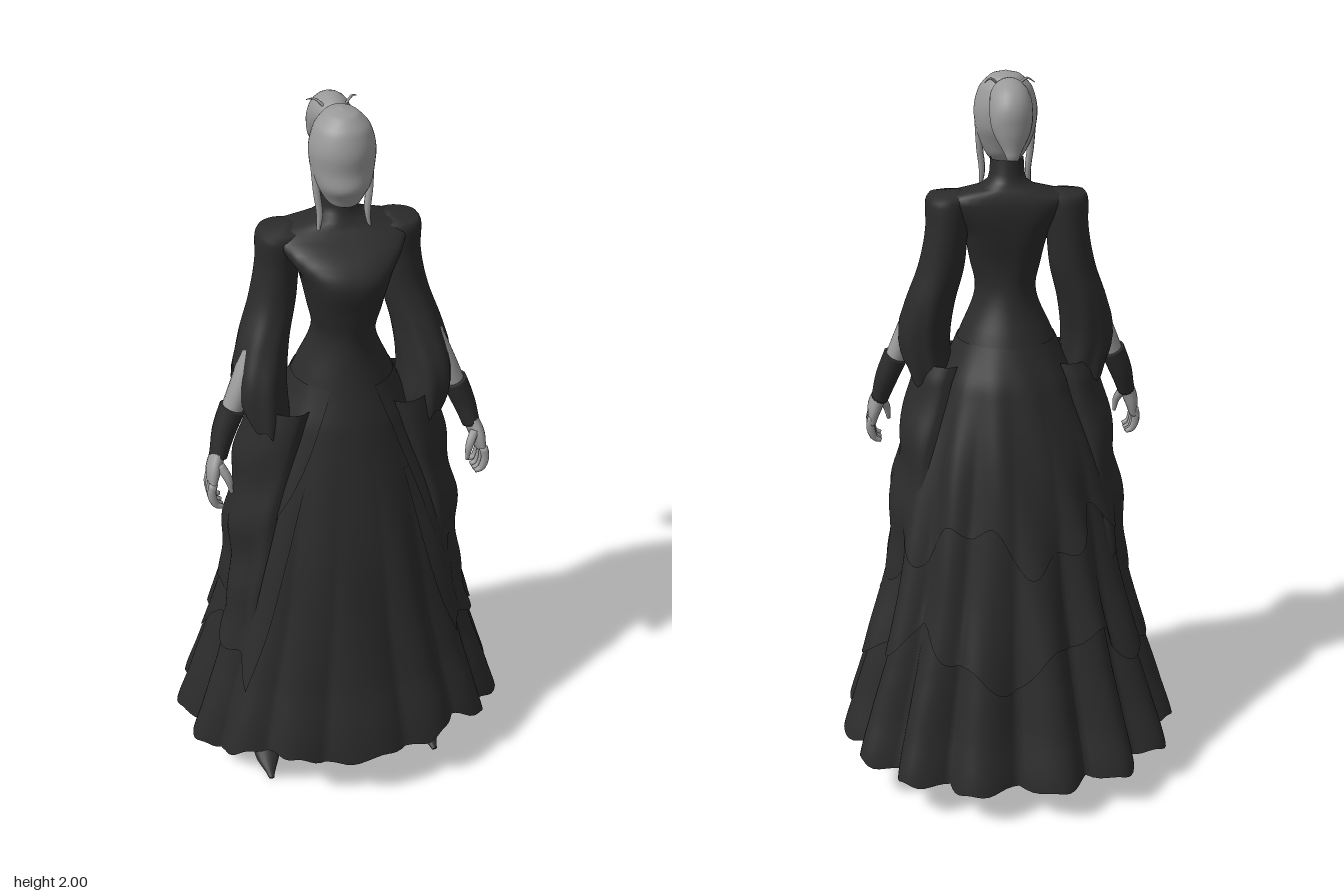
import * as THREE from 'three';
import { mergeVertices } from 'three/addons/utils/BufferGeometryUtils.js';

const cloth = new THREE.MeshStandardMaterial({ color: 0x2b2b2b, side: THREE.DoubleSide });
cloth.name = 'black cloth';
const pale = new THREE.MeshStandardMaterial({ color: 0x9a9a9a, side: THREE.DoubleSide });
pale.name = 'pale grey';

const TAU = Math.PI * 2;
const lerp = THREE.MathUtils.lerp;

// Smooth value through four neighbours
function cubic(a, b, c, d, f) {
  const m = (c - a) / 2, n = (d - b) / 2;
  return b + m * f + (3 * (c - b) - 2 * m - n) * f * f + (2 * (b - c) + m + n) * f * f * f;
}

// Reads a table of cross-sections (first column y, descending) at height y
function at(rows, y) {
  let k = 0;
  while (k < rows.length - 2 && y < rows[k + 1][0]) k++;
  const f = THREE.MathUtils.clamp((rows[k][0] - y) / (rows[k][0] - rows[k + 1][0]), 0, 1);
  const row = (i) => rows[THREE.MathUtils.clamp(i, 0, rows.length - 1)];
  return rows[k].map((_, j) => cubic(row(k - 1)[j], row(k)[j], row(k + 1)[j], row(k + 2)[j], f));
}

// Mesh from a rule fn(u, v) -> [x, y, z]; u runs round, v runs down
function surface(name, cols, rows, fn, material) {
  const pos = [], index = [];
  for (let i = 0; i <= rows; i++)
    for (let j = 0; j <= cols; j++) pos.push(...fn(j / cols, i / rows));
  for (let i = 0; i < rows; i++)
    for (let j = 0; j < cols; j++) {
      const a = i * (cols + 1) + j, c = a + cols + 1;
      index.push(a, c, a + 1, a + 1, c, c + 1);
    }
  let geo = new THREE.BufferGeometry();
  geo.setAttribute('position', new THREE.Float32BufferAttribute(pos, 3));
  geo.setIndex(index);
  geo = mergeVertices(geo, 1e-5);
  geo.computeVertexNormals();
  const mesh = new THREE.Mesh(geo, material);
  mesh.name = name;
  return mesh;
}

// Closed limb along a curve; radii are [across, deep] pairs spread along it
function limb(name, points, radii, material, cols = 16, rows = 20) {
  const curve = new THREE.CatmullRomCurve3(points.map((p) => new THREE.Vector3(...p)));
  const table = radii.map((r, i) => [1 - i / (radii.length - 1), ...r]);
  return surface(name, cols, rows + 2, (u, v) => {
    const k = Math.round(v * (rows + 2));
    const t = THREE.MathUtils.clamp((k - 1) / rows, 0, 1);
    const cap = k === 0 || k === rows + 2 ? 0 : 1;
    const c = curve.getPoint(t), dir = curve.getTangent(t);
    const across = new THREE.Vector3(1, 0, 0).addScaledVector(dir, -dir.x).normalize();
    const deep = dir.clone().cross(across);
    const [, ra, rd] = at(table, 1 - t);
    const w = (u % 1) * TAU;
    return c.addScaledVector(across, Math.sin(w) * ra * cap)
      .addScaledVector(deep, Math.cos(w) * rd * cap).toArray();
  }, material);
}

// Height, half width, front z, back z of the gown
const GOWN = [
  [1.785, 0.043, 0.063, -0.025], [1.73, 0.05, 0.07, -0.035], [1.708, 0.085, 0.082, -0.045],
  [1.692, 0.165, 0.095, -0.052], [1.655, 0.155, 0.16, -0.055], [1.6, 0.116, 0.203, -0.048],
  [1.5, 0.094, 0.185, -0.032], [1.42, 0.082, 0.17, -0.035], [1.32, 0.122, 0.182, -0.07],
  [1.2, 0.175, 0.212, -0.12], [1.0, 0.243, 0.245, -0.172], [0.8, 0.29, 0.278, -0.212],
  [0.6, 0.332, 0.302, -0.25], [0.4, 0.388, 0.33, -0.295], [0.25, 0.437, 0.362, -0.332],
  [0.1, 0.48, 0.378, -0.375],
];

// Point on the gown, pushed out by an offset; folds deepen toward the hem
function gownPoint(w, y, out = 0) {
  const [, hw, zf, zb] = at(GOWN, y);
  const full = THREE.MathUtils.smoothstep(1.3 - y, 0, 1.15);
  const chest = THREE.MathUtils.smoothstep(y, 1.42, 1.62) * (1 - THREE.MathUtils.smoothstep(y, 1.7, 1.73));
  const s = Math.sin(w), c = Math.cos(w);
  // Squarer at the chest and back of the shoulders, and at the front of the hem
  const e = 1 - full * (c > 0 ? 0.16 : 0.1) - chest * (c > 0 ? 0.2 : 0.42);
  const lobe = Math.abs(Math.cos(7.5 * w)) - 0.72;
  const fold = 1 + full * (0.105 - 0.05 * c) * lobe + full * (1 - full) * 0.05 * Math.sin(11 * w + y * 5);
  const round = (q) => Math.sign(q) * Math.abs(q) ** e;
  const x = round(s) * (hw * fold + out);
  const z = (zf + zb) / 2 + round(c) * ((zf - zb) / 2 * fold + out);
  return [x, y, z];
}

// Hem height round the skirt: lifted beside the front petal, lowest at the back
function hemAt(w) {
  const a = Math.min(w, TAU - w);
  return 0.138 + 0.034 * Math.cos(w) + 0.045 * Math.exp(-(((a - 0.6) / 0.25) ** 2))
    + 0.01 * Math.sin(22 * w) * Math.cos(9 * w);
}

function gown() {
  return surface('gown', 210, 90, (u, v) => {
    const w = (u % 1) * TAU;
    return gownPoint(w, lerp(1.785, hemAt(w), v));
  }, cloth);
}

// Frilled lining just inside the hem
function petticoat() {
  return surface('petticoat', 180, 16, (u, v) => {
    const w = (u % 1) * TAU;
    const frill = 0.012 * v * Math.sin(30 * w);
    return gownPoint(w, lerp(0.5, hemAt(w) + 0.006 * Math.sin(17 * w), v), -0.02 - 0.025 * v + frill);
  }, cloth);
}

// Open-fronted ragged layer lying over the skirt
function tier(name, top, bottom, gapTop, gapBottom, lift, phase) {
  return surface(name, 150, 26, (u, v) => {
    const gap = lerp(gapTop, gapBottom, v);
    const w = lerp(gap, TAU - gap, u);
    const hem = bottom + 0.06 * Math.sin(5 * w + phase) + 0.03 * Math.sin(13 * w + phase);
    const y = lerp(top, hem, v);
    const ripple = 0.006 * v * Math.sin(12 * w + 9 * y + phase);
    return gownPoint(w, y, 0.003 + lift * v + ripple);
  }, cloth);
}

// Height, centre x, half width, centre z, half depth of a sleeve
const SLEEVE = [
  [1.707, 0.13, 0, 0.018, 0], [1.702, 0.14, 0.054, 0.018, 0.052], [1.68, 0.15, 0.061, 0.018, 0.066],
  [1.6, 0.158, 0.056, 0.014, 0.064], [1.5, 0.174, 0.061, 0.018, 0.066], [1.4, 0.203, 0.066, 0.035, 0.08],
  [1.3, 0.221, 0.071, 0.058, 0.092], [1.2, 0.214, 0.068, 0.07, 0.095], [1.1, 0.208, 0.06, 0.075, 0.085],
];

function arm() {
  const g = new THREE.Group();
  g.name = 'arm';
  g.add(surface('sleeve', 56, 40, (u, v) => {
    const w = (u % 1) * TAU;
    const hem = 1.17 + 0.04 * Math.sin(w) + 0.13 * Math.exp(-(((w - 1.5) / 0.5) ** 2)) + 0.012 * Math.sin(9 * w);
    const y = lerp(1.707, hem, v);
    const [, cx, rx, cz, rz] = at(SLEEVE, y);
    const f = 1 + 0.05 * v * v * Math.sin(7 * w + 12 * y);
    return [cx + Math.sin(w) * rx * f, y, cz + Math.cos(w) * rz * f];
  }, cloth));
  // Loose cloth falling from the sleeve down the side of the skirt
  g.add(surface('sideDrape', 40, 40, (u, v) => {
    const w = lerp(0.75 + 0.25 * v, 2.15, u);
    const y = lerp(1.24, 0.5 + 0.2 * u + 0.025 * Math.sin(16 * u), v);
    const swell = lerp(0.078, 0.006, v) + 0.009 * Math.sin(26 * y + 3 * w) * Math.sin(Math.PI * v);
    return gownPoint(w, y, 0.008 + swell * Math.sin(Math.PI * u) ** 0.5);
  }, cloth));
  g.add(limb('forearm', [[0.232, 1.4, 0.06], [0.27, 1.3, 0.08], [0.303, 1.22, 0.088]],
    [[0.026, 0.032], [0.029, 0.036], [0.028, 0.034]], pale));
  g.add(limb('cuff', [[0.298, 1.235, 0.088], [0.325, 1.17, 0.095], [0.345, 1.105, 0.11]],
    [[0.034, 0.039], [0.031, 0.036], [0.024, 0.032]], cloth));
  // Hand with curled fingers
  g.add(limb('palm', [[0.343, 1.12, 0.107], [0.36, 1.075, 0.12], [0.368, 1.035, 0.128]],
    [[0.02, 0.03], [0.02, 0.041], [0.013, 0.041]], pale));
  for (let i = 0; i < 4; i++) {
    const z = 0.099 + i * 0.02, drop = 0.008 * Math.sin((i + 0.5) * Math.PI / 4);
    g.add(limb('finger', [[0.368, 1.05, z], [0.374, 1.02, z + 0.002], [0.364, 0.99 - drop, z + 0.003], [0.346, 0.982 - drop, z + 0.003]],
      [[0.012, 0.012], [0.011, 0.012], [0.006, 0.007]], pale, 8, 8));
  }
  g.add(limb('thumb', [[0.347, 1.095, 0.14], [0.328, 1.06, 0.158], [0.322, 1.02, 0.163]],
    [[0.013, 0.013], [0.011, 0.011], [0.005, 0.005]], pale, 8, 8));
  return g;
}

function leg() {
  const g = new THREE.Group();
  g.name = 'leg';
  g.add(limb('stocking', [[0.18, 0.6, 0.01], [0.205, 0.4, 0], [0.22, 0.22, 0]], [[0.05, 0.055], [0.042, 0.046], [0.03, 0.034]], cloth));
  // Bare strip at the back of the calf
  g.add(limb('calf', [[0.216, 0.235, -0.016], [0.219, 0.2, -0.016], [0.222, 0.15, -0.016]], [[0.027, 0.03], [0.028, 0.03], [0.026, 0.028]], pale));
  g.add(limb('bootShaft', [[0.223, 0.23, 0.004], [0.23, 0.13, 0], [0.236, 0.06, -0.01]], [[0.03, 0.034], [0.029, 0.042], [0.03, 0.05]], cloth));
  g.add(limb('shoe', [[0.234, 0.08, -0.095], [0.237, 0.07, -0.02], [0.243, 0.042, 0.07], [0.248, 0.022, 0.14], [0.252, 0.007, 0.22]],
    [[0.012, 0.01], [0.03, 0.035], [0.036, 0.036], [0.036, 0.022], [0.008, 0.006]], cloth));
  return g;
}

// Height, half width, front z, back z of the head
const HEAD = [
  [2.0, 0, 0.05, 0.05], [1.99, 0.038, 0.095, 0.0], [1.96, 0.067, 0.125, -0.02], [1.91, 0.081, 0.14, -0.032],
  [1.86, 0.078, 0.138, -0.028], [1.82, 0.067, 0.142, -0.01], [1.79, 0.052, 0.124, 0.005],
  [1.77, 0.036, 0.112, 0.03], [1.758, 0, 0.08, 0.08],
];

function head() {
  const g = new THREE.Group();
  g.name = 'head';
  g.add(surface('face', 40, 40, (u, v) => {
    const w = (u % 1) * TAU;
    const y = 1.879 + 0.121 * Math.cos(v * Math.PI);
    const [, hw, zf, zb] = at(HEAD, y);
    return [Math.sin(w) * hw, y, (zf + zb) / 2 + Math.cos(w) * (zf - zb) / 2];
  }, pale));
  // Gathered tail of hair with loose strands
  g.add(limb('ponytail', [[0, 1.935, 0.0], [0, 1.945, -0.045], [0, 1.925, -0.088], [0, 1.875, -0.113], [0, 1.808, -0.138]],
    [[0.035, 0.04], [0.049, 0.052], [0.054, 0.06], [0.047, 0.042], [0.014, 0.008]], pale, 20, 24));
  for (const s of [1, -1]) {
    g.add(limb('sideLock', [[s * 0.07, 1.88, 0.055], [s * 0.066, 1.8, 0.065], [s * 0.06, 1.74, 0.07], [s * 0.067, 1.685, 0.075]],
      [[0.01, 0.014], [0.009, 0.016], [0.008, 0.014], [0.003, 0.004]], pale, 8, 12));
    g.add(limb('looseStrand', [[s * 0.02, 1.97, -0.02], [s * 0.045, 1.992, -0.035], [s * 0.062, 1.985, -0.055]],
      [[0.004, 0.004], [0.003, 0.003], [0.001, 0.001]], pale, 6, 8));
  }
  return g;
}

export function createModel() {
  const model = new THREE.Group();
  model.name = 'gownedFigure';
  model.add(gown(), petticoat(), head());
  model.add(tier('upperOverskirt', 1.3, 0.78, 0.45, 0.95, 0.016, 0.4));
  model.add(tier('lowerOverskirt', 1.05, 0.46, 0.6, 0.85, 0.012, 2.1));
  // Limbs, mirrored left to right
  for (const s of [1, -1]) {
    const side = new THREE.Group();
    side.name = s > 0 ? 'leftLimbs' : 'rightLimbs';
    side.add(arm(), leg());
    side.scale.x = s;
    model.add(side);
  }
  return model;
}
